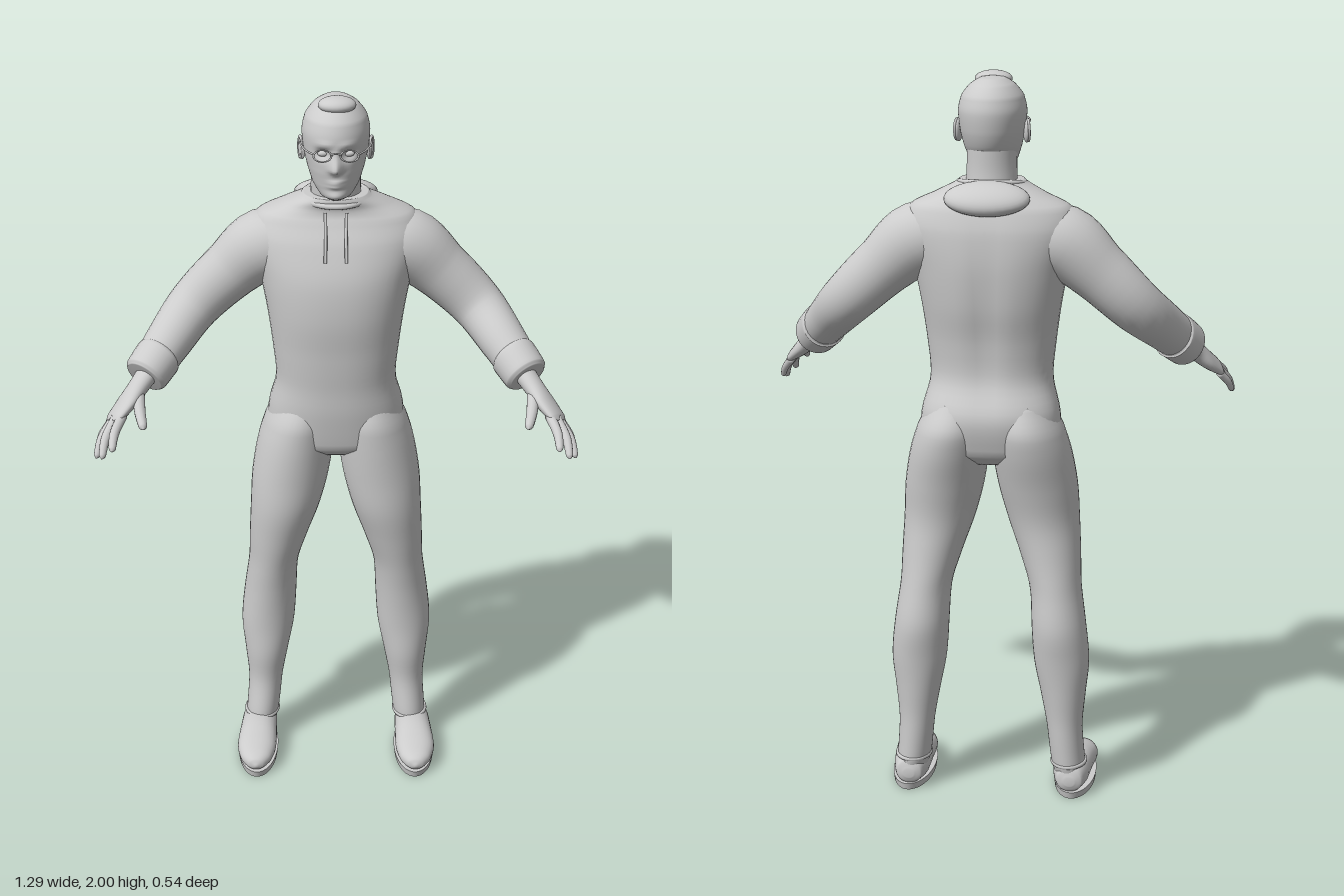
import * as THREE from 'three';

const V = (x, y, z) => new THREE.Vector3(x, y, z);
const UP = V(0, 1, 0), DOWN = V(0, -1, 0), FRONT = V(0, 0, 1);

// Smooth skin through elliptical sections [x, y, z, halfA, halfB].
// ref points along halfB; a fixed axis keeps all sections parallel.
function loft(rings, { ref = FRONT, axis = null, segs = 28, steps = 5, power = 1 } = {}) {
  const path = new THREE.CatmullRomCurve3(rings.map(r => V(r[0], r[1], r[2])));
  const size = new THREE.CatmullRomCurve3(rings.map(r => V(r[3], r[4], 0)));
  const n = (rings.length - 1) * steps, pos = [], idx = [];
  const soft = c => Math.sign(c) * Math.pow(Math.abs(c), power);
  for (let i = 0; i <= n; i++) {
    const c = path.getPoint(i / n), s = size.getPoint(i / n);
    const t = axis ? axis.clone() : path.getTangent(i / n);
    const v = ref.clone().addScaledVector(t, -ref.dot(t)).normalize();
    const u = v.clone().cross(t);
    for (let j = 0; j < segs; j++) {
      const q = j / segs * Math.PI * 2;
      const p = c.clone().addScaledVector(u, s.x * soft(Math.cos(q))).addScaledVector(v, s.y * soft(Math.sin(q)));
      pos.push(p.x, p.y, p.z);
    }
  }
  for (let i = 0; i < n; i++) for (let j = 0; j < segs; j++) {
    const a = i * segs + j, b = i * segs + (j + 1) % segs;
    idx.push(a, b, b + segs, a, b + segs, a + segs);
  }
  // end caps
  const first = path.getPoint(0), last = path.getPoint(1), k = pos.length / 3;
  pos.push(first.x, first.y, first.z, last.x, last.y, last.z);
  for (let j = 0; j < segs; j++) {
    const j2 = (j + 1) % segs;
    idx.push(k, j2, j, k + 1, n * segs + j, n * segs + j2);
  }
  const g = new THREE.BufferGeometry();
  g.setAttribute('position', new THREE.Float32BufferAttribute(pos, 3));
  g.setIndex(idx);
  g.computeVertexNormals();
  return g;
}

// Moves vertices by a rule, then refreshes the normals
function deform(g, rule) {
  const p = g.attributes.position, v = V(0, 0, 0);
  for (let i = 0; i < p.count; i++) {
    rule(v.fromBufferAttribute(p, i));
    p.setXYZ(i, v.x, v.y, v.z);
  }
  g.computeVertexNormals();
  return g;
}
const bump = (d, w) => Math.exp(-(d * d) / (w * w));
const ball = (rx, ry, rz) => new THREE.SphereGeometry(1, 28, 18).scale(rx, ry, rz);
const rod = (pts, r) => new THREE.TubeGeometry(new THREE.CatmullRomCurve3(pts), 12, r, 8);

export function createModel() {
  const model = new THREE.Group();
  const grey = new THREE.MeshStandardMaterial({ color: 0xcccccc });
  grey.name = 'light grey';
  const add = (name, geo, x = 0, y = 0, z = 0) => {
    const m = new THREE.Mesh(geo, grey);
    m.name = name;
    m.position.set(x, y, z);
    model.add(m);
    return m;
  };

  // Torso, with a shallow groove along the spine
  const torso = loft([
    [0, 0.965, -0.125, 0.09, 0.07], [0, 1.0, -0.125, 0.19, 0.115], [0, 1.1, -0.127, 0.187, 0.134],
    [0, 1.2, -0.105, 0.165, 0.12], [0, 1.3, -0.103, 0.174, 0.128], [0, 1.4, -0.108, 0.188, 0.143],
    [0, 1.5, -0.115, 0.207, 0.145], [0, 1.6, -0.127, 0.232, 0.127], [0, 1.66, -0.132, 0.212, 0.103],
    [0, 1.69, -0.127, 0.15, 0.09], [0, 1.715, -0.11, 0.098, 0.082], [0, 1.725, -0.105, 0.085, 0.075],
  ], { axis: UP, segs: 48, power: 0.9 });
  add('torso', deform(torso, p => {
    if (p.z < -0.15) p.z += 0.012 * bump(p.x, 0.035) * bump(p.y - 1.38, 0.22);
  }));

  // Neck, collar and folded hood
  add('neck', loft([[0, 1.66, -0.115, 0.07, 0.066], [0, 1.74, -0.107, 0.067, 0.066], [0, 1.82, -0.1, 0.066, 0.075]], { axis: UP }));
  const collar = add('collar', new THREE.TorusGeometry(1, 0.11, 10, 40).rotateX(Math.PI / 2).scale(0.085, 0.07, 0.078), 0, 1.715, -0.104);
  collar.rotation.x = 0.12;
  const hood = add('hood', ball(0.113, 0.037, 0.062), 0, 1.688, -0.21);
  hood.rotation.x = -0.45;

  // Head: sockets, nose, lips and chin pushed out of a smooth loft
  const head = loft([
    [0, 1.727, -0.04, 0.018, 0.025], [0, 1.74, -0.042, 0.04, 0.046], [0, 1.77, -0.065, 0.062, 0.076],
    [0, 1.81, -0.08, 0.076, 0.098], [0, 1.85, -0.087, 0.085, 0.108], [0, 1.9, -0.09, 0.09, 0.113],
    [0, 1.94, -0.091, 0.082, 0.104], [0, 1.97, -0.093, 0.059, 0.077], [0, 1.986, -0.093, 0.033, 0.045],
    [0, 1.991, -0.093, 0.004, 0.005],
  ], { axis: UP, segs: 80, steps: 7 });
  add('head', deform(head, p => {
    if (p.z < -0.04) return;
    const ax = Math.abs(p.x);
    p.z -= 0.016 * bump(ax - 0.034, 0.018) * bump(p.y - 1.862, 0.014);
    p.z += 0.005 * bump(ax - 0.03, 0.022) * bump(p.y - 1.888, 0.008);
    const rise = p.y > 1.822 ? bump(p.y - 1.822, 0.03) : bump(p.y - 1.822, 0.01);
    p.z += 0.026 * bump(p.x, 0.01 + 0.005 * rise) * rise;
    p.z += 0.009 * bump(p.x, 0.02) * (bump(p.y - 1.786, 0.005) + bump(p.y - 1.774, 0.005));
    p.z += 0.008 * bump(p.x, 0.025) * bump(p.y - 1.745, 0.012);
  }));
  add('hairTuft', ball(0.05, 0.022, 0.04), 0.003, 1.978, -0.048);

  // Glasses bridge
  add('glassesBridge', rod([V(-0.013, 1.872, 0.042), V(0, 1.876, 0.045), V(0.013, 1.872, 0.042)], 0.0025));

  for (const s of [1, -1]) {
    const side = s > 0 ? 'left' : 'right';
    const P = (x, y, z) => V(s * x, y, z);
    const M = rings => rings.map(([x, ...r]) => [s * x, ...r]);

    // Face details
    add(side + 'Eye', ball(0.014, 0.008, 0.008), s * 0.034, 1.862, 0);
    const ear = add(side + 'Ear', ball(0.009, 0.031, 0.019), s * 0.089, 1.848, -0.093);
    ear.rotation.set(-0.15, s * -0.3, 0);
    const rim = add(side + 'EarRim', new THREE.TorusGeometry(1, 0.18, 8, 24).rotateY(Math.PI / 2).scale(0.02, 0.027, 0.016), s * 0.094, 1.85, -0.094);
    rim.rotation.set(-0.15, s * -0.3, 0);
    add(side + 'LensFrame', new THREE.TorusGeometry(1, 0.12, 8, 28).scale(0.023, 0.016, 0.022), s * 0.035, 1.868, 0.04);
    add(side + 'GlassesArm', rod([P(0.058, 1.872, 0.04), P(0.08, 1.872, 0.0), P(0.094, 1.872, -0.06), P(0.093, 1.862, -0.1)], 0.0025));

    // Hood drawstring
    add(side + 'Drawstring', rod([P(0.028, 1.69, -0.025), P(0.027, 1.63, 0.0), P(0.028, 1.565, 0.02)], 0.0045));

    // Sleeve and cuff
    const across = P(1, 1, 0).normalize();
    add(side + 'Sleeve', loft(M([
      [0.1, 1.575, -0.125, 0.09, 0.085], [0.19, 1.565, -0.13, 0.094, 0.098], [0.285, 1.49, -0.132, 0.076, 0.082],
      [0.385, 1.395, -0.115, 0.068, 0.072], [0.45, 1.325, -0.035, 0.064, 0.064], [0.505, 1.262, 0.04, 0.056, 0.055],
    ]), { ref: across }));
    add(side + 'Cuff', loft(M([
      [0.475, 1.294, -0.002, 0.058, 0.056], [0.48, 1.29, 0.005, 0.066, 0.064],
      [0.51, 1.258, 0.045, 0.064, 0.061], [0.516, 1.252, 0.053, 0.054, 0.052],
    ]), { ref: across }));

    // Hand
    add(side + 'Palm', loft(M([
      [0.495, 1.272, 0.03, 0.03, 0.036], [0.53, 1.235, 0.08, 0.026, 0.035], [0.56, 1.203, 0.115, 0.022, 0.047],
      [0.588, 1.177, 0.148, 0.016, 0.046], [0.598, 1.168, 0.158, 0.009, 0.036],
    ]), { ref: P(-0.035, 0.03, 0.045).normalize() }));
    const fingers = [
      ['Thumb', [0.528, 1.225, 0.1], [0.52, 1.2, 0.165], [0.507, 1.178, 0.225], 0.017],
      ['IndexFinger', [0.568, 1.188, 0.165], [0.585, 1.163, 0.222], [0.588, 1.135, 0.272], 0.014],
      ['MiddleFinger', [0.585, 1.18, 0.155], [0.61, 1.143, 0.207], [0.618, 1.103, 0.25], 0.014],
      ['RingFinger', [0.595, 1.168, 0.142], [0.625, 1.127, 0.179], [0.637, 1.086, 0.21], 0.013],
      ['LittleFinger', [0.602, 1.158, 0.127], [0.626, 1.127, 0.149], [0.637, 1.098, 0.168], 0.011],
    ];
    for (const [name, a, b, c, r] of fingers) {
      const tip = c.map((v, i) => v * 0.85 + b[i] * 0.15);
      add(side + name, loft(M([[...a, r, r], [...b, r * 0.9, r * 0.9], [...tip, r * 0.65, r * 0.65], [...c, 0.002, 0.002]]), { ref: across, segs: 12 }));
    }

    // Trouser leg
    add(side + 'Leg', loft(M([
      [0.085, 1.14, -0.127, 0.07, 0.105], [0.1, 1.06, -0.131, 0.098, 0.136], [0.111, 1.0, -0.127, 0.106, 0.132],
      [0.127, 0.9, -0.115, 0.108, 0.116], [0.143, 0.8, -0.107, 0.098, 0.103], [0.163, 0.7, -0.117, 0.083, 0.094],
      [0.18, 0.6, -0.132, 0.071, 0.088], [0.19, 0.5, -0.145, 0.075, 0.085], [0.198, 0.4, -0.143, 0.076, 0.074],
      [0.203, 0.3, -0.138, 0.062, 0.067], [0.208, 0.2, -0.138, 0.049, 0.058], [0.217, 0.1, -0.13, 0.047, 0.062],
      [0.222, 0.06, -0.13, 0.042, 0.055],
    ]), { axis: DOWN, segs: 36 }));

    // Shoe: upper, opening and sole
    add(side + 'Shoe', loft(M([
      [0.226, 0.05, -0.192, 0.014, 0.012], [0.226, 0.054, -0.183, 0.036, 0.034], [0.226, 0.056, -0.13, 0.05, 0.045],
      [0.229, 0.056, -0.05, 0.054, 0.044], [0.232, 0.049, 0.02, 0.056, 0.036], [0.232, 0.044, 0.075, 0.043, 0.026],
      [0.232, 0.04, 0.1, 0.023, 0.017], [0.232, 0.038, 0.108, 0.004, 0.004],
    ]), { ref: UP, axis: FRONT, power: 0.9 }));
    add(side + 'ShoeOpening', new THREE.TorusGeometry(1, 0.1, 8, 32).rotateX(Math.PI / 2).scale(0.047, 0.06, 0.06), s * 0.219, 0.093, -0.129);
    add(side + 'Sole', new THREE.CylinderGeometry(1, 0.96, 0.02, 40).scale(0.059, 1, 0.153), s * 0.23, 0.01, -0.042);
  }
  return model;
}
